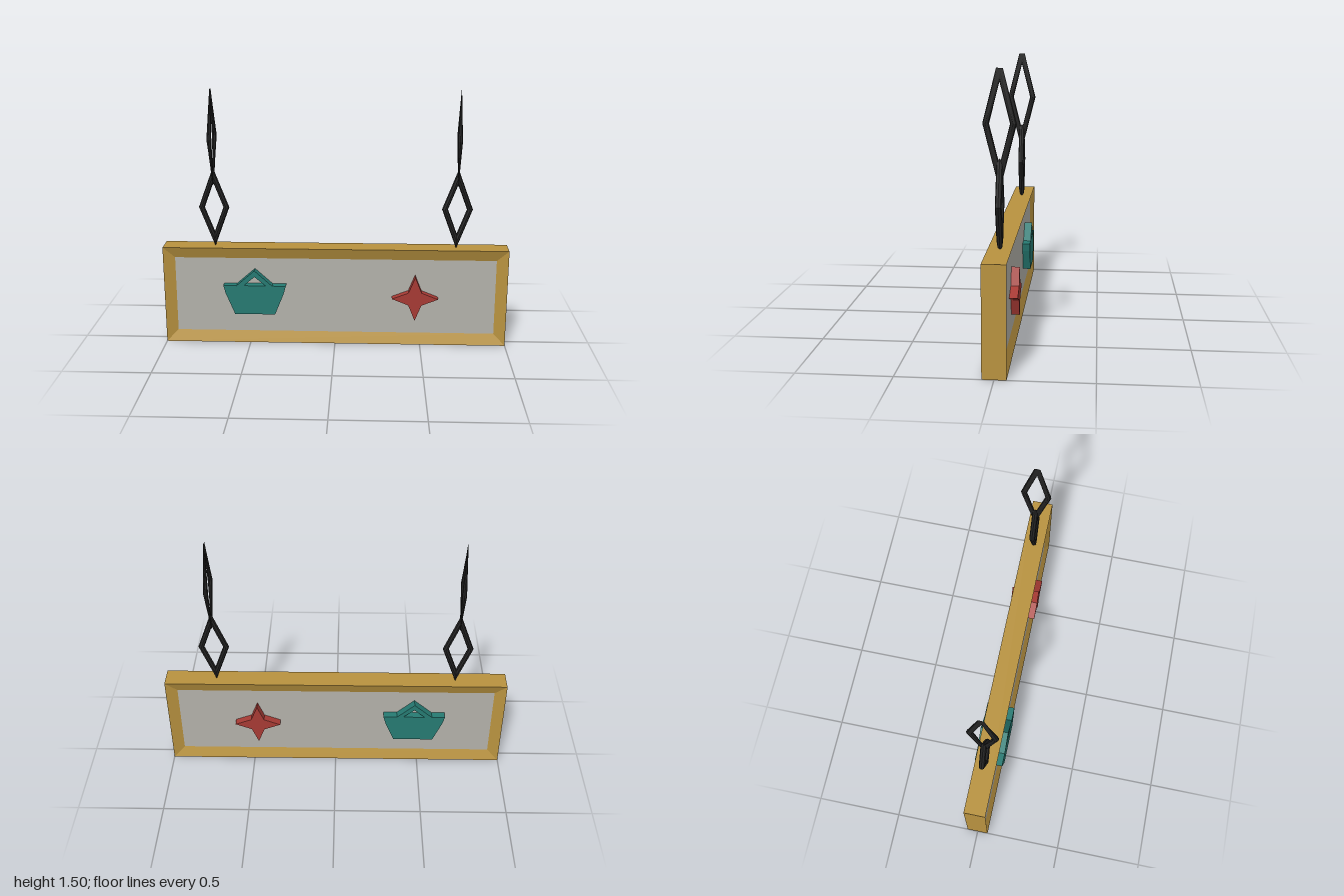
import * as THREE from 'three';

const mat = (color, extra = {}) => new THREE.MeshStandardMaterial({ color, flatShading: true, ...extra });
const GOLD = mat(0xb8923f), PANEL = mat(0xb3b1aa), TEAL = mat(0x267a72);
const RED = mat(0xa63a34), IRON = mat(0x222222, { side: THREE.DoubleSide });

function mesh(name, geometry, material, parent) {
  const m = new THREE.Mesh(geometry, material);
  m.name = name;
  parent.add(m);
  return m;
}

// Skin a list of equal-sized closed loops with flat faces
function loft(loops) {
  const pos = [];
  for (let i = 0; i + 1 < loops.length; i++) {
    const p = loops[i], q = loops[i + 1], n = p.length;
    for (let j = 0; j < n; j++) {
      const k = (j + 1) % n;
      pos.push(...p[j], ...p[k], ...q[k], ...p[j], ...q[k], ...q[j]);
    }
  }
  const g = new THREE.BufferGeometry();
  g.setAttribute('position', new THREE.Float32BufferAttribute(pos, 3));
  g.computeVertexNormals();
  return g;
}

// Flat emblem that passes through the board and stands proud on both sides
function emblem(shape) {
  const depth = 0.166;
  const g = new THREE.ExtrudeGeometry(shape, { depth, bevelEnabled: false });
  return g.translate(0, 0, -depth / 2);
}

const toShape = (pts) => new THREE.Shape(pts.map(([x, y]) => new THREE.Vector2(x, y)));

// Upper link: two bent bars whose ends narrow to a thin edge
function barGeometry(side) {
  const section = (y, z, halfX) => Array.from({ length: 8 }, (_, i) => {
    const t = (i / 8) * Math.PI * 2;
    return [halfX * Math.cos(t), y, z - 0.017 * Math.sin(t)];
  });
  return loft([
    section(0.95, 0, 0.001),
    section(1.225, side * 0.07, 0.014),
    section(1.5, 0, 0.001),
  ]);
}

function createChain(x) {
  const chain = new THREE.Group();
  chain.name = 'chain';
  chain.position.x = x;

  // Lower link: four-sided ring stretched upward
  const ring = new THREE.TorusGeometry(0.071, 0.017, 8, 4);
  ring.scale(1, 2.67, 1).translate(0, 0.815, 0);
  mesh('lowerLink', ring, IRON, chain);

  const upper = new THREE.Group();
  upper.name = 'upperLink';
  upper.rotation.y = -0.06;
  for (const side of [-1, 1]) mesh('linkBar', barGeometry(side), IRON, upper);
  chain.add(upper);
  return chain;
}

export function createModel() {
  const sign = new THREE.Group();
  sign.name = 'hangingSign';
  const H = 0.585, rim = 0.066, zOut = 0.062, zIn = 0.038;

  // Mitred frame sloping inward to the panel on both faces
  const rect = (inset, z) => [
    [-1 + inset, inset, z], [1 - inset, inset, z],
    [1 - inset, H - inset, z], [-1 + inset, H - inset, z],
  ];
  mesh('frame', loft([rect(rim, -zIn), rect(0, -zOut), rect(0, zOut), rect(rim, zIn)]), GOLD, sign);

  // Recessed panel
  const panel = mesh('panel', new THREE.BoxGeometry(2 - 2 * rim, H - 2 * rim, 2 * zIn), PANEL, sign);
  panel.position.y = H / 2;

  // Basket emblem with an open peaked handle
  const basket = toShape([
    [-0.585, 0.187], [-0.35, 0.187], [-0.298, 0.315], [-0.285, 0.363], [-0.365, 0.363],
    [-0.467, 0.456], [-0.573, 0.363], [-0.65, 0.363], [-0.637, 0.315],
  ]);
  basket.holes.push(new THREE.Path([
    new THREE.Vector2(-0.53, 0.364), new THREE.Vector2(-0.467, 0.418), new THREE.Vector2(-0.402, 0.364),
  ]));
  mesh('basketEmblem', emblem(basket), TEAL, sign);

  // Four-pointed star emblem
  const star = Array.from({ length: 8 }, (_, i) => {
    const a = (i / 8) * Math.PI * 2, r = i % 2 ? 0.054 : 0.134;
    return [0.466 + r * Math.cos(a), 0.293 + r * Math.sin(a)];
  });
  mesh('starEmblem', emblem(toShape(star)), RED, sign);

  // Pair of hanging chains
  for (const x of [-0.7, 0.7]) sign.add(createChain(x));
  return sign;
}
